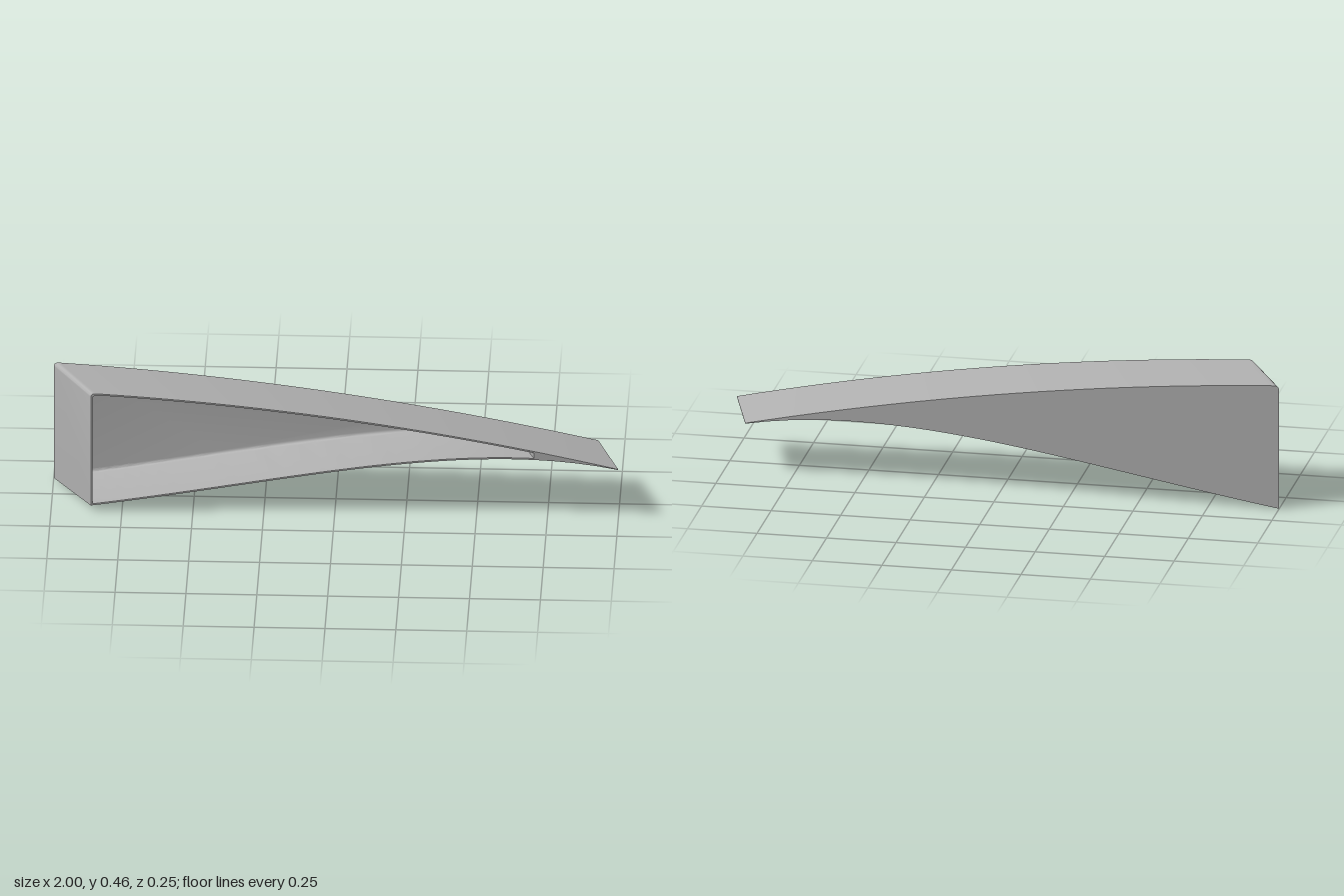
import * as THREE from 'three';
import { toCreasedNormals } from 'three/addons/utils/BufferGeometryUtils.js';

const DEPTH = 0.245, WALL = 0.006, FILLET = 0.014, FLOOR = 0.03, CORNER = 0.015;
const lerp = THREE.MathUtils.lerp;

// Upper and lower edge heights along the rib, t = 0 (deep end) to 1 (tip)
const topY = (t) => { const x = -0.86 + 1.86 * t; return 0.386 - 0.135 * x - 0.049 * x * x; };
const bottomY = (t) => 0.022 + t * (0.29 + t * (0.159 + t * (-0.0943 - 0.177 * t)));

// Sheared placement: s = 0 at the back, 1 at the front
function place(p, s) {
  const drop = lerp(lerp(0.02, 0.005, p.y / 0.466), 0.012, p.x);
  return new THREE.Vector3(
    lerp(-1 + 1.92 * p.x, -0.86 + 1.86 * p.x, s),
    p.y - (1 - s) * drop,
    (s - 0.5) * DEPTH);
}

// Counter-clockwise outline, inset by d and ending at tMax at the latest
function outline(d, tMax) {
  const n = 48, t0 = d / 1.86, low = [], high = [];
  let t1 = tMax;
  if (d > 0) while (topY(t1) - bottomY(t1) - 2 * d < 0.004) t1 -= 0.002;
  for (let i = 0; i <= n; i++) {
    const t = lerp(t0, t1, (i / n) ** 2);
    const k = Math.max(0, 1 - (t - t0) * 1.86 / CORNER);
    low.push(new THREE.Vector2(t, bottomY(t) + d));
    high.push(new THREE.Vector2(t, topY(t) - d - CORNER * (1 - Math.sqrt(1 - k * k))));
  }
  return low.concat(high.reverse());
}

// Triangles between two rings
function loft(out, a, b) {
  a.forEach((p, i) => {
    const j = (i + 1) % a.length;
    out.push(p, a[j], b[j], p, b[j], b[i]);
  });
}

// Flat face inside a loop, with an optional hole
function cap(out, loop, s, flip = false, hole = null) {
  const pts = (hole ? loop.concat(hole) : loop).map((p) => place(p, s));
  for (const [a, b, c] of THREE.ShapeUtils.triangulateShape(loop, hole ? [hole] : []))
    out.push(pts[a], pts[flip ? c : b], pts[flip ? b : c]);
}

export function createModel() {
  const group = new THREE.Group();
  group.name = 'taperedRib';
  const metal = new THREE.MeshStandardMaterial({ color: 0xb0b0b0 });
  metal.name = 'grey metal';

  const addPart = (name, points) => {
    const geometry = toCreasedNormals(new THREE.BufferGeometry().setFromPoints(points), 0.6);
    const mesh = new THREE.Mesh(geometry, metal);
    mesh.name = name;
    group.add(mesh);
  };

  const outer = outline(0, 1);
  const mouth = outline(WALL, 0.84);

  // Outer faces of the flanges
  const flanges = [];
  loft(flanges, outer.map((p) => place(p, 0)), outer.map((p) => place(p, 1)));
  addPart('outerFlanges', flanges);

  // Back of the web
  const back = [];
  cap(back, outer, 0, true);
  addPart('backPanel', back);

  // Front edge of the flanges and the solid tip
  const rim = [];
  cap(rim, outer, 1, false, mouth);
  addPart('frontRim', rim);

  // Pocket walls, fillet and floor
  const pocket = [];
  let ring = mouth.map((p) => place(p, 1)), floor = mouth;
  for (let i = 0; i <= 5; i++) {
    const a = i / 5 * Math.PI / 2;
    floor = outline(WALL + FILLET * (1 - Math.cos(a)), 0.84);
    const s = FLOOR + FILLET * (1 - Math.sin(a)) / DEPTH;
    const next = floor.map((p) => place(p, s));
    loft(pocket, ring, next);
    ring = next;
  }
  cap(pocket, floor, FLOOR);
  addPart('pocket', pocket);

  return group;
}
